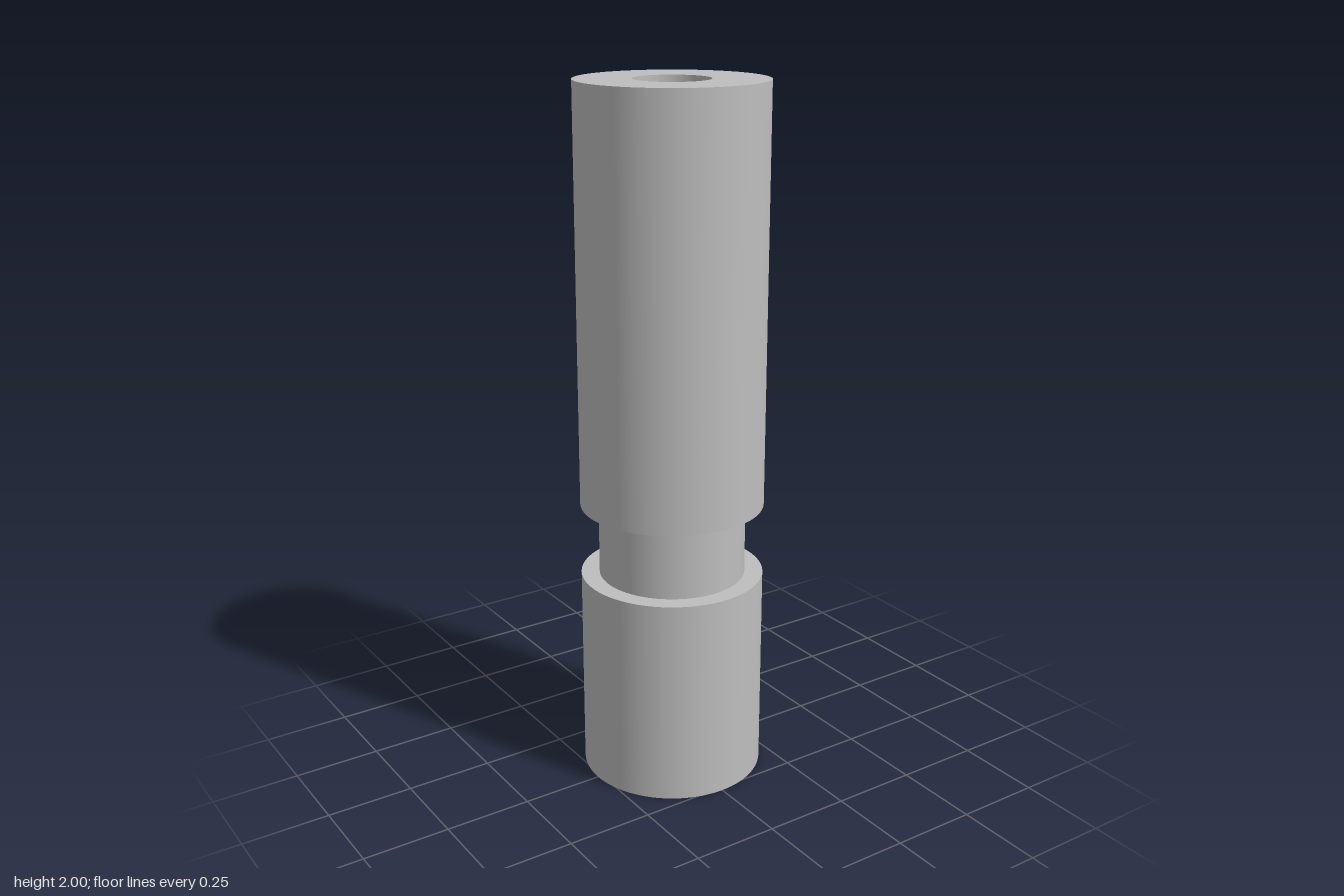
import * as THREE from 'three';

const SEGMENTS = 96;
const OUTER = 0.263, NECK = 0.2105, BORE = 0.1055;
const HEIGHT = 2, GROOVE_BOTTOM = 0.605, GROOVE_TOP = 0.816, BORE_DEPTH = 0.53;

export function createModel() {
  const model = new THREE.Group();
  model.name = 'groovedPin';

  const steel = new THREE.MeshStandardMaterial({ color: 0xbebebe });
  steel.name = 'steel grey';

  // Revolve each straight run of the profile separately, so its edges stay sharp
  function turnedPart(name, profile) {
    const part = new THREE.Group();
    part.name = name;
    for (let i = 0; i < profile.length - 1; i++) {
      const run = [profile[i], profile[i + 1]].map(([r, y]) => new THREE.Vector2(r, y));
      const mesh = new THREE.Mesh(new THREE.LatheGeometry(run, SEGMENTS), steel);
      mesh.name = name + 'Face' + (i + 1);
      part.add(mesh);
    }
    model.add(part);
  }

  // Blind bore in the lower end, running out to its rim
  turnedPart('lowerBore', [[0, BORE_DEPTH], [BORE, BORE_DEPTH], [BORE, 0]]);

  // Lower body: bottom ring, side wall, shoulder
  turnedPart('lowerBody', [[BORE, 0], [OUTER, 0], [OUTER, GROOVE_BOTTOM], [NECK, GROOVE_BOTTOM]]);

  // Narrow neck inside the groove
  turnedPart('neck', [[NECK, GROOVE_BOTTOM], [NECK, GROOVE_TOP]]);

  // Upper body: shoulder, side wall, top ring
  turnedPart('upperBody', [[NECK, GROOVE_TOP], [OUTER, GROOVE_TOP], [OUTER, HEIGHT], [BORE, HEIGHT]]);

  // Blind bore in the upper end
  turnedPart('upperBore', [[BORE, HEIGHT], [BORE, HEIGHT - BORE_DEPTH], [0, HEIGHT - BORE_DEPTH]]);

  return model;
}
